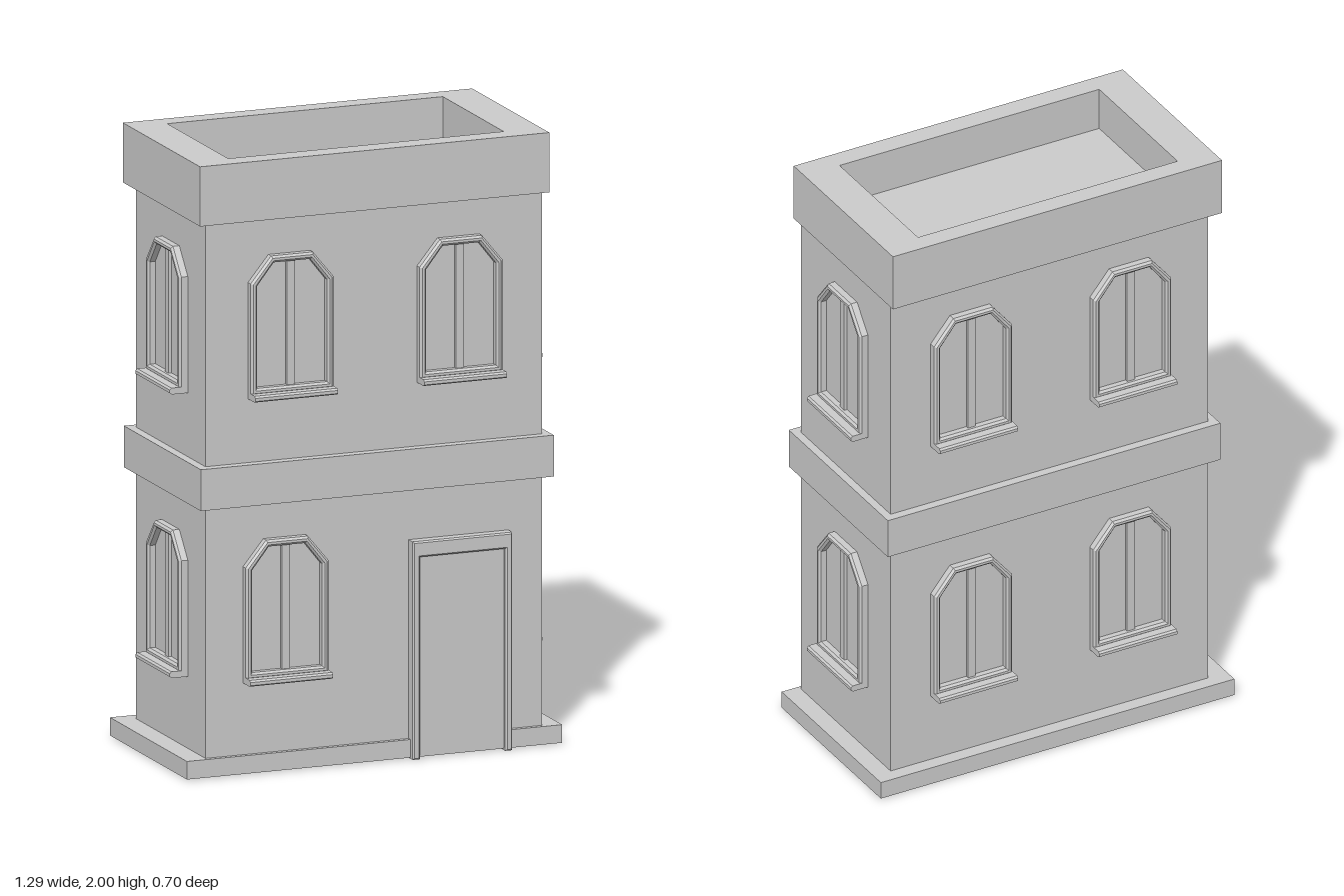
import * as THREE from 'three';

const material = new THREE.MeshStandardMaterial({ color: 0xcccccc, flatShading: true });

function add(parent, name, geometry) {
  const mesh = new THREE.Mesh(geometry, material);
  mesh.name = name;
  parent.add(mesh);
  return mesh;
}

// Box given by its minimum and maximum on each axis
function box(parent, name, [x0, x1], [y0, y1], [z0, z1]) {
  const geometry = new THREE.BoxGeometry(x1 - x0, y1 - y0, z1 - z0);
  geometry.translate((x0 + x1) / 2, (y0 + y1) / 2, (z0 + z1) / 2);
  return add(parent, name, geometry);
}

// Window outline with clipped top corners, shrunk by an inset
function windowOutline(inset) {
  const w = 0.142 - inset, top = 0.465 - inset, bottom = 0.015 + inset;
  const shoulder = 0.38 - inset * 0.42, cap = 0.072 - inset * 0.42;
  return [[-w, bottom], [w, bottom], [w, shoulder], [cap, top], [-cap, top], [-w, shoulder]]
    .map(([x, y]) => new THREE.Vector2(x, y));
}

// Window standing on the plane z = 0 and facing +z
function createWindow() {
  const group = new THREE.Group();
  group.name = 'window';
  const shape = new THREE.Shape(windowOutline(0));
  shape.holes.push(new THREE.Path(windowOutline(0.022)));
  const bevel = 0.007;
  add(group, 'windowFrame', new THREE.ExtrudeGeometry(shape, {
    depth: 0.029 - bevel, bevelThickness: bevel, bevelSize: bevel, bevelOffset: -bevel, bevelSegments: 1,
  }));
  const pane = add(group, 'windowPane', new THREE.ShapeGeometry(new THREE.Shape(windowOutline(0.015))));
  pane.position.z = 0.003;
  box(group, 'mullion', [-0.014, 0.014], [0.037, 0.443], [0, 0.014]);

  // Sill with softened front edge
  const sill = new THREE.Shape([[0, 0], [0.054, 0], [0.062, 0.005], [0.062, 0.015], [0.056, 0.021], [0, 0.021]]
    .map(([x, y]) => new THREE.Vector2(x, y)));
  const sillGeometry = new THREE.ExtrudeGeometry(sill, { depth: 0.284, bevelEnabled: false });
  sillGeometry.translate(0, 0, -0.142);
  sillGeometry.rotateY(-Math.PI / 2);
  add(group, 'windowSill', sillGeometry);
  return group;
}

export function createModel() {
  const model = new THREE.Group();
  model.name = 'house';
  const halfX = 0.578, halfZ = 0.288;

  // Storeys and horizontal bands
  box(model, 'base', [-0.648, 0.64], [0.004, 0.063], [-0.335, 0.304]);
  box(model, 'walls', [-halfX, halfX], [0.06, 1.82], [-halfZ, halfZ]);
  box(model, 'floorBand', [-0.607, 0.605], [0.88, 1.015], [-0.318, 0.32]);

  // Roof parapet with a sunken deck
  const rect = (x0, x1, z0, z1) => [[x0, -z1], [x1, -z1], [x1, -z0], [x0, -z0]]
    .map(([x, y]) => new THREE.Vector2(x, y));
  const parapet = new THREE.Shape(rect(-0.603, 0.596, -0.335, 0.304));
  parapet.holes.push(new THREE.Path(rect(-0.478, 0.468, -0.27, 0.235)));
  const parapetGeometry = new THREE.ExtrudeGeometry(parapet, { depth: 0.195, bevelEnabled: false });
  parapetGeometry.rotateX(-Math.PI / 2);
  add(model, 'parapet', parapetGeometry).position.y = 1.805;
  box(model, 'roofDeck', [-0.478, 0.468], [1.81, 1.855], [-0.27, 0.235]);

  // Door and its surround
  const surround = new THREE.Shape([
    [0.12, 0], [0.145, 0], [0.145, 0.66], [0.438, 0.66], [0.438, 0], [0.462, 0], [0.462, 0.712], [0.12, 0.712],
  ].map(([x, y]) => new THREE.Vector2(x, y)));
  const bevel = 0.005;
  add(model, 'doorFrame', new THREE.ExtrudeGeometry(surround, {
    depth: 0.045 - bevel, bevelThickness: bevel, bevelSize: bevel, bevelOffset: -bevel, bevelSegments: 1,
  })).position.z = 0.28;
  box(model, 'door', [0.14, 0.443], [0.008, 0.665], [0.27, 0.308]);

  // Windows: x, sill height, z, facing angle
  const windows = [[-0.29, 1.223, halfZ, 0], [0.29, 1.223, halfZ, 0], [-0.307, 0.297, halfZ, 0]];
  for (const y of [0.297, 1.223]) {
    for (const side of [-1, 1]) {
      windows.push([side * 0.29, y, -halfZ, Math.PI]);
      windows.push([side * halfX, y, 0, side * Math.PI / 2]);
    }
  }
  for (const [x, y, z, angle] of windows) {
    const unit = createWindow();
    unit.position.set(x, y, z);
    unit.rotation.y = angle;
    model.add(unit);
  }
  return model;
}
